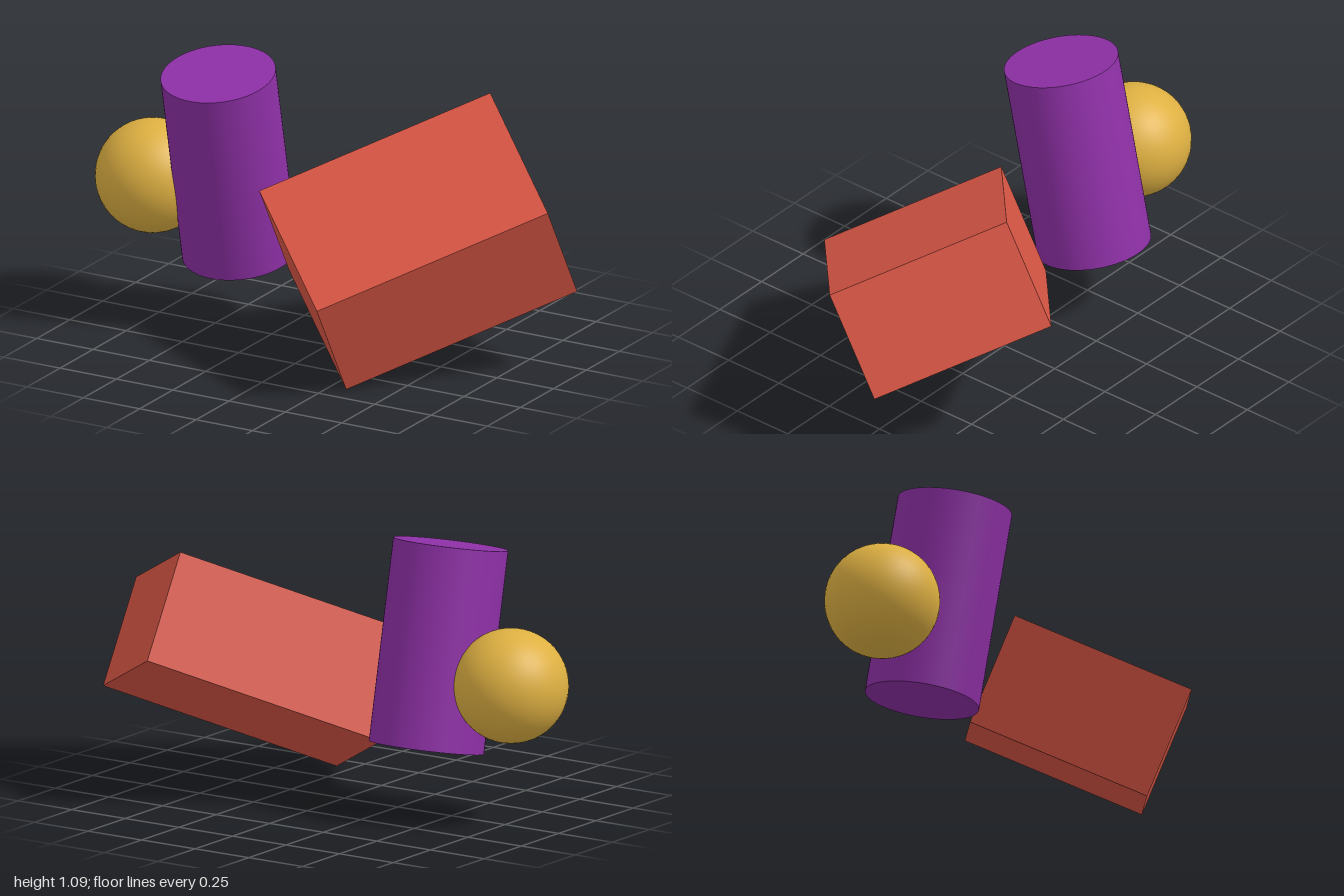
import * as THREE from 'three';

export function createModel() {
  const group = new THREE.Group();

  const material = (name, hex) => {
    const m = new THREE.MeshStandardMaterial({ color: hex });
    m.name = name;
    return m;
  };
  const add = (name, geometry, mat, position, rotation = [0, 0, 0]) => {
    const mesh = new THREE.Mesh(geometry, mat);
    mesh.name = name;
    mesh.position.set(...position);
    mesh.rotation.set(...rotation.map(THREE.MathUtils.degToRad));
    group.add(mesh);
  };

  // Block: turned 45 degrees, then tipped 30 degrees towards the front
  add('block', new THREE.BoxGeometry(0.962, 0.444, 0.735),
    material('red', 0xd95645), [0.4, 0.492, 0], [30, 45, 0]);

  // Solid cylinder leaning 12 degrees towards the front
  add('cylinder', new THREE.CylinderGeometry(0.222, 0.222, 0.787, 64),
    material('purple', 0x8e30a6), [-0.44, 0.662, 0], [12, 0, 0]);

  // Ball resting against the cylinder
  add('ball', new THREE.SphereGeometry(0.222, 48, 32),
    material('gold', 0xdeb042), [-0.778, 0.551, 0]);

  return group;
}
